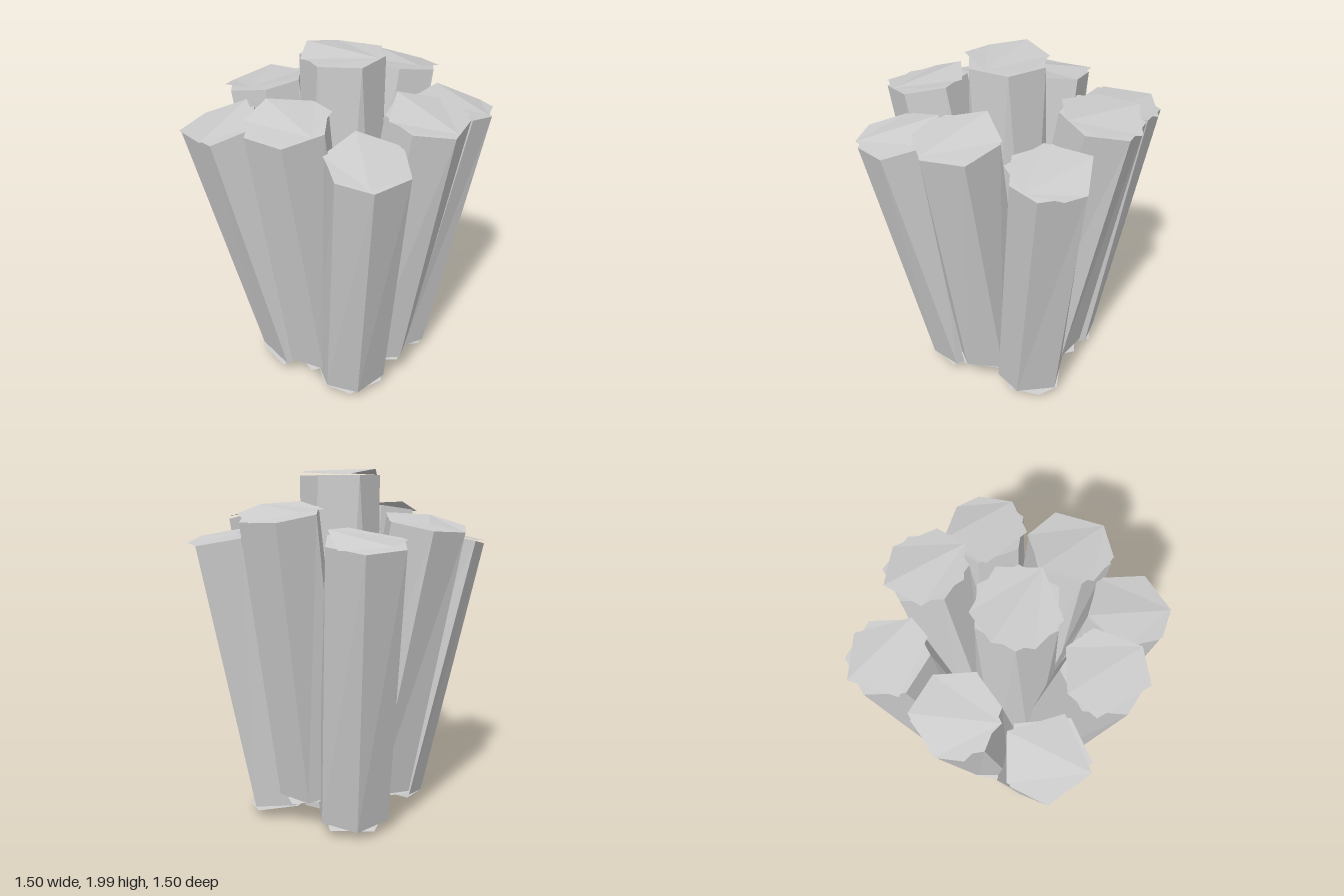
import * as THREE from 'three';

const UP = new THREE.Vector3(0, 1, 0);
const RAD = Math.PI / 180;
const FACE_OUT_X = [30, 90, 150, 210, 270, 330];
const FACE_OUT_Z = [0, 60, 120, 180, 240, 300];

// bottom and top centre, corner angles of the shaft and its twist, corner angles of the end plates
const POSTS = [
  { name: 'centrePost', from: [0, 0.02, 0.02], to: [0.01, 1.975, 0.02], shaft: FACE_OUT_X, twist: 30, plate: [0, 77, 127, 180, 231, 301] },
  { name: 'frontPost', from: [0.01, 0.2, 0.25], to: [0.02, 1.77, 0.52], shaft: FACE_OUT_Z, twist: 8, plate: [21, 72, 160, 207, 270, 313] },
  { name: 'backPost', from: [0.01, 0.2, -0.25], to: [0.03, 1.78, -0.54], shaft: FACE_OUT_Z, twist: -8, plate: [30, 85, 150, 209, 276, 341] },
  { name: 'leftPost', from: [0.25, 0.2, 0.01], to: [0.53, 1.75, 0.02], shaft: [22, 80, 135, 195, 260, 320], twist: 8, plate: [20, 72, 119, 193, 255, 310] },
  { name: 'rightPost', from: [-0.25, 0.2, 0.01], to: [-0.53, 1.72, 0.01], shaft: [50, 110, 170, 232, 295, 355], twist: -8, plate: [70, 137, 175, 240, 298, 355] },
  { name: 'frontLeftPost', from: [0.2, 0.1, 0.22], to: [0.44, 1.63, 0.43], shaft: [50, 102, 160, 222, 288, 352], twist: 6, plate: [56, 100, 158, 220, 286, 355] },
  { name: 'frontRightPost', from: [-0.21, 0.1, 0.22], to: [-0.455, 1.63, 0.48], shaft: [0, 64, 150, 199, 283], twist: -4, plate: [77, 146, 205, 270, 351] },
  { name: 'backLeftPost', from: [0.22, 0.1, -0.25], to: [0.44, 1.64, -0.45], shaft: [35, 95, 155, 215, 285, 350], twist: -6, plate: [8, 67, 145, 216, 285, 319] },
  { name: 'backRightPost', from: [-0.24, 0.09, -0.25], to: [-0.44, 1.65, -0.47], shaft: [0, 60, 120, 178, 240, 300], twist: 8, plate: [2, 37, 130, 205, 275] },
];

// uneven prism whose lower end is turned against its upper end
function shaftGeometry(length, angles, twist, bottomRadius) {
  const n = angles.length;
  const geo = new THREE.CylinderGeometry(0.226, bottomRadius, length, n, 1);
  const pos = geo.attributes.position;
  for (let i = 0; i < pos.count; i++) {
    const x = pos.getX(i), y = pos.getY(i), z = pos.getZ(i);
    const corner = (Math.round(Math.atan2(x, z) / (2 * Math.PI) * n) + n) % n;
    const a = (angles[(n - corner) % n] - twist * (0.5 - y / length)) * RAD;
    const r = Math.hypot(x, z);
    pos.setXYZ(i, r * Math.cos(a), y, r * Math.sin(a));
  }
  return geo;
}

// thin uneven plate, a fan of triangles around its first corner
function plateGeometry(angles, radius, warp) {
  const pos = [];
  const index = [];
  angles.forEach((a, i) => {
    pos.push(Math.cos(a * RAD) * radius, warp * Math.sin(i * 2.4 + 0.6), Math.sin(a * RAD) * radius);
    if (i > 1) index.push(0, i, i - 1);
  });
  const geo = new THREE.BufferGeometry();
  geo.setAttribute('position', new THREE.Float32BufferAttribute(pos, 3));
  geo.setIndex(index);
  geo.computeVertexNormals();
  return geo;
}

export function createModel() {
  const model = new THREE.Group();
  model.name = 'postCluster';
  const shaftMat = new THREE.MeshStandardMaterial({ color: 0xcccccc, flatShading: true });
  const plateMat = new THREE.MeshStandardMaterial({ color: 0xcccccc, flatShading: true, side: THREE.DoubleSide });

  for (const p of POSTS) {
    const from = new THREE.Vector3(...p.from);
    const to = new THREE.Vector3(...p.to);
    const length = from.distanceTo(to);
    const post = new THREE.Group();
    post.name = p.name;

    const add = (name, geo, mat, y) => {
      const mesh = new THREE.Mesh(geo, mat);
      mesh.name = name;
      mesh.position.y = y;
      post.add(mesh);
    };
    const bottomRadius = p.name === 'centrePost' ? 0.245 : 0.212;
    add('shaft', shaftGeometry(length - 0.02, p.shaft, p.twist, bottomRadius), shaftMat, 0);
    add('topPlate', plateGeometry(p.plate, 0.23, 0.018), plateMat, length / 2 + 0.006);
    add('bottomPlate', plateGeometry(p.plate, 0.212, 0.006), plateMat, -length / 2 - 0.005);

    // lean the post along its axis
    post.position.copy(from).add(to).multiplyScalar(0.5);
    post.quaternion.setFromUnitVectors(UP, to.clone().sub(from).normalize());
    model.add(post);
  }
  return model;
}
